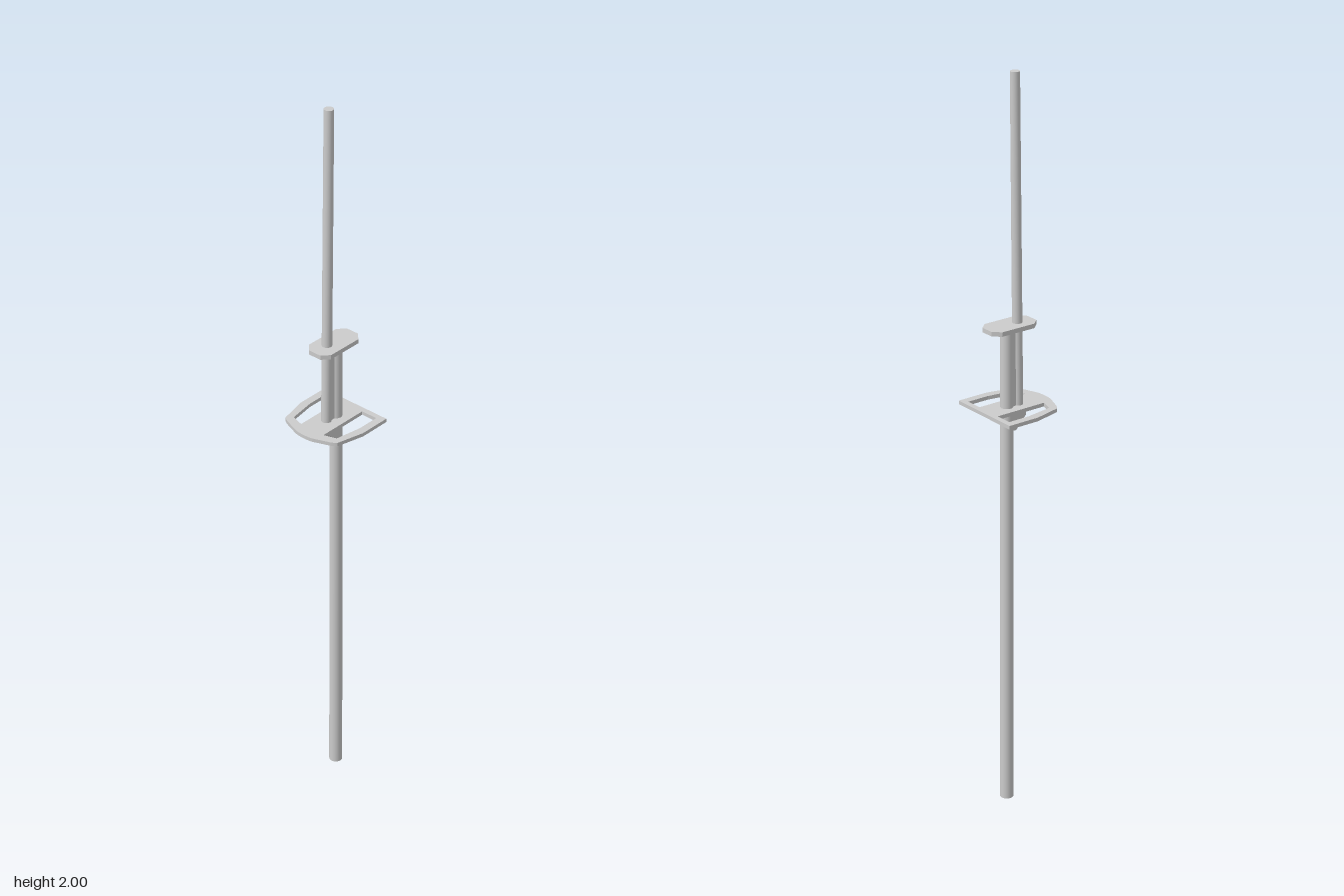
import * as THREE from 'three';

const material = new THREE.MeshStandardMaterial({ color: 0xcccccc });

function add(group, name, geometry) {
  const mesh = new THREE.Mesh(geometry, material);
  mesh.name = name;
  group.add(mesh);
}

// Tapered round bar between two points
function bar(from, to, rFrom, rTo) {
  const a = new THREE.Vector3(...from), b = new THREE.Vector3(...to);
  const dir = b.clone().sub(a);
  const geo = new THREE.CylinderGeometry(rTo, rFrom, dir.length(), 24);
  geo.applyQuaternion(new THREE.Quaternion().setFromUnitVectors(
    new THREE.Vector3(0, 1, 0), dir.normalize()));
  const mid = a.add(b).multiplyScalar(0.5);
  return geo.translate(mid.x, mid.y, mid.z);
}

const points = (list) => list.map(([x, y]) => new THREE.Vector2(x, y));

// Mirrors a right-hand half outline across x = 0
const mirrored = (half) => points([...half, ...half.map(([x, z]) => [-x, z]).reverse()]);

// Horizontal plate from an (x, z) shape, with its top at the given height
function plate(shape, top, thickness) {
  return new THREE.ExtrudeGeometry(shape, { depth: thickness, bevelEnabled: false, curveSegments: 12 })
    .rotateX(Math.PI / 2).translate(0, top, 0);
}

export function createModel() {
  const model = new THREE.Group();
  model.name = 'poleWithFootrest';

  // Long lower pole behind, slim upper rod in front
  add(model, 'lowerPole', bar([-0.001, 0, -0.029], [-0.001, 1.345, -0.027], 0.018, 0.0165));
  add(model, 'upperRod', bar([-0.002, 1.1, 0.008], [-0.002, 2, -0.002], 0.0135, 0.0125));

  // Web joining the two bars where they overlap
  add(model, 'joiningWeb', new THREE.BoxGeometry(0.016, 0.235, 0.034).translate(-0.001, 1.2275, -0.009));

  // Slanted bracket beneath the large plate
  const bracket = new THREE.Shape(points([
    [-0.028, 1.07], [-0.01, 1.07], [0.021, 1.104], [0.021, 1.125], [-0.028, 1.125],
  ]));
  add(model, 'bracket', new THREE.ExtrudeGeometry(bracket, { depth: 0.033, bevelEnabled: false })
    .rotateY(-Math.PI / 2).translate(0.0155, 0, 0));

  // Large plate with a bowed front and two side openings
  const outline = new THREE.Shape();
  outline.moveTo(-0.106, -0.099);
  outline.lineTo(0.106, -0.099);
  outline.lineTo(0.106, -0.01);
  outline.lineTo(0.088, 0.066);
  outline.quadraticCurveTo(0.083, 0.072, 0.068, 0.078);
  outline.lineTo(0.028, 0.093);
  outline.quadraticCurveTo(0, 0.099, -0.028, 0.093);
  outline.lineTo(-0.068, 0.078);
  outline.quadraticCurveTo(-0.083, 0.072, -0.088, 0.066);
  outline.lineTo(-0.106, -0.01);
  outline.closePath();
  for (const s of [-1, 1]) {
    outline.holes.push(new THREE.Path(points([
      [s * 0.038, -0.084], [s * 0.085, -0.084], [s * 0.085, -0.022],
      [s * 0.073, 0.052], [s * 0.038, 0.063],
    ])));
  }
  add(model, 'largePlate', plate(outline, 1.133, 0.01));

  // Small plate with clipped corners
  const small = new THREE.Shape(mirrored([
    [0.019, -0.088], [0.037, -0.068], [0.037, 0.033], [0.019, 0.053],
  ]));
  add(model, 'smallPlate', plate(small, 1.354, 0.012));

  return model;
}
